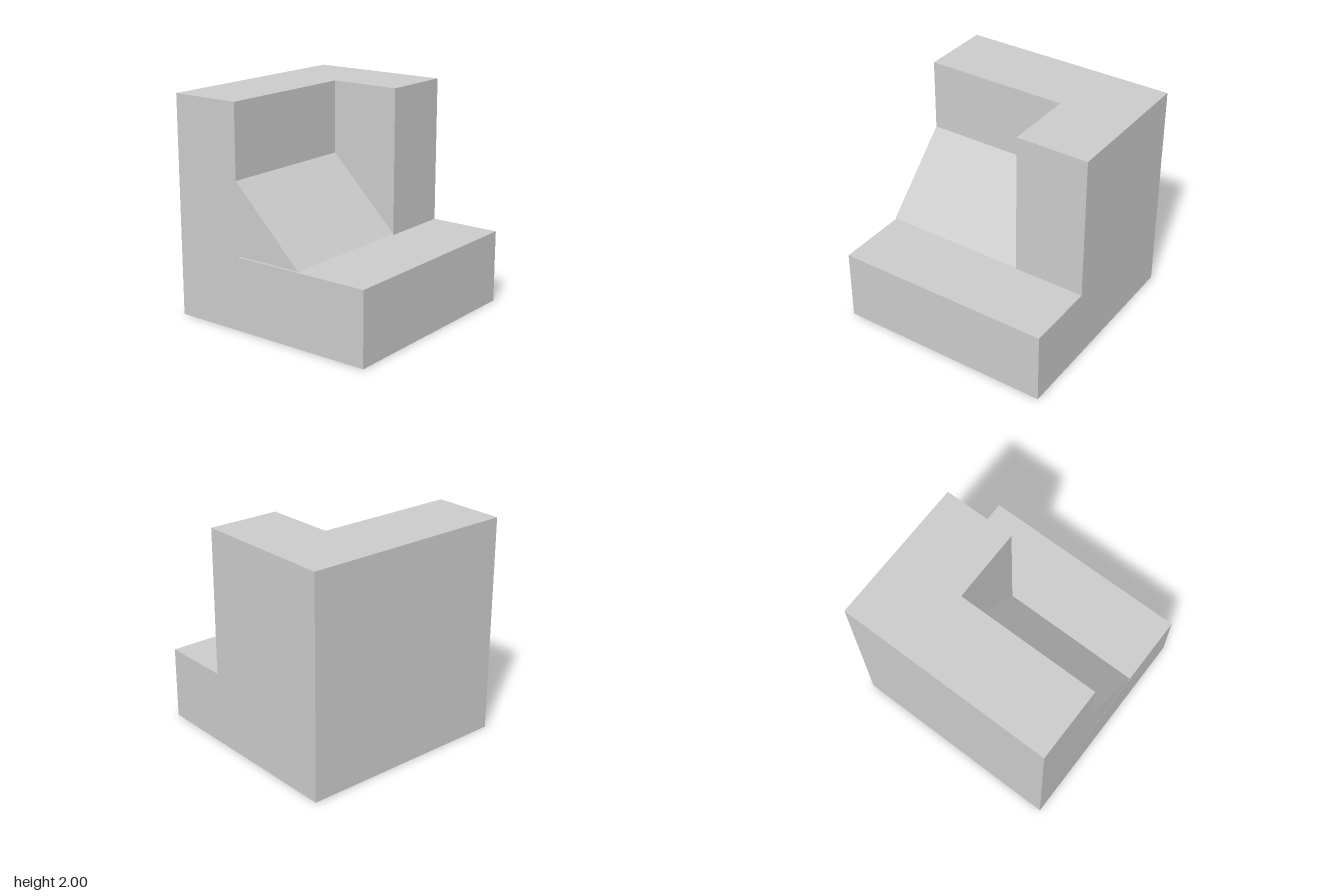
import * as THREE from 'three';

const T = 1 / 3; // the block is divided into thirds

// Extrudes a closed outline given as [x, y] points
function prism(points, depth) {
  const shape = new THREE.Shape(points.map(([x, y]) => new THREE.Vector2(x, y)));
  return new THREE.ExtrudeGeometry(shape, { depth, bevelEnabled: false });
}

export function createModel() {
  const group = new THREE.Group();
  const material = new THREE.MeshStandardMaterial({ color: 0xcccccc, flatShading: true });
  const add = (name, geometry) => {
    const mesh = new THREE.Mesh(geometry, material);
    mesh.name = name;
    group.add(mesh);
  };

  // Square slab at the bottom
  const baseHeight = 2 * T;
  add('base', new THREE.BoxGeometry(2, baseHeight, 2).translate(0, baseHeight / 2, 0));

  // L-shaped upright: back wall with a pillar on the left (outline in x, -z)
  const upright = prism([[-1, T], [T, T], [T, -T], [1, -T], [1, 1], [-1, 1]], 2 - baseHeight);
  add('cornerWall', upright.rotateX(-Math.PI / 2).translate(0, baseHeight, 0));

  // Sloping wedge in the notch, with a hairline gap under it (outline in z, y)
  const gap = 0.01;
  const wedge = prism([[-T, baseHeight + gap], [T, baseHeight + gap], [-T, 4 * T]], 1 + T);
  add('ramp', wedge.rotateY(-Math.PI / 2).translate(T, 0, 0));

  return group;
}
